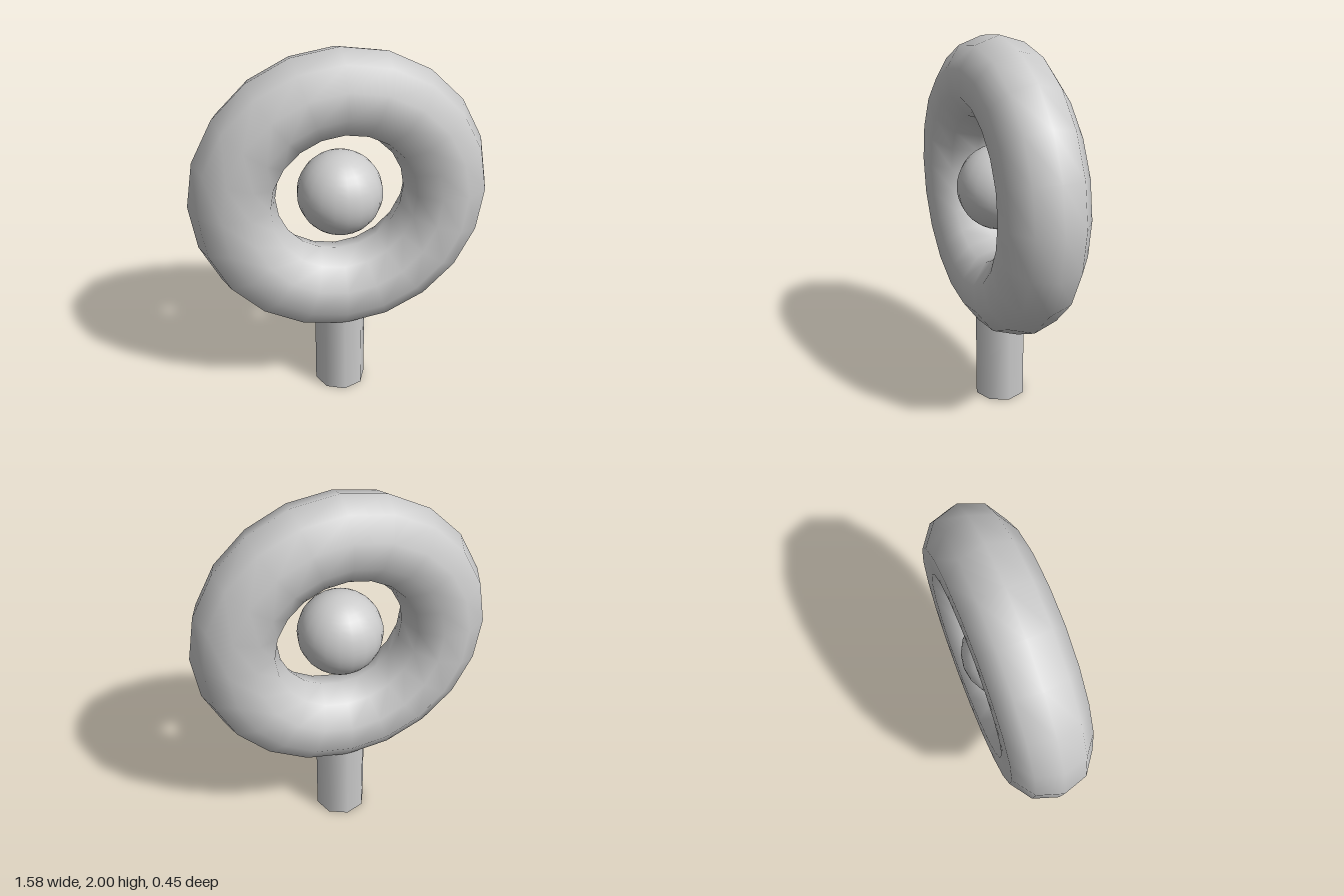
import * as THREE from 'three';

export function createModel() {
  const group = new THREE.Group();
  const material = new THREE.MeshStandardMaterial({ color: 0xcccccc });
  const centreY = 1.209;

  function addPart(name, geometry, y) {
    const mesh = new THREE.Mesh(geometry, material);
    mesh.name = name;
    mesh.position.y = y;
    group.add(mesh);
  }

  // Thick upright ring
  addPart('ring', new THREE.TorusGeometry(0.566, 0.225, 10, 20), centreY);

  // Ball floating in the middle of the ring
  addPart('ball', new THREE.SphereGeometry(0.226, 20, 20), centreY);

  // Eight-sided post, its top sunk into the ring
  const postHeight = 0.56;
  addPart('post', new THREE.CylinderGeometry(0.141, 0.141, postHeight, 8), postHeight / 2);

  return group;
}
